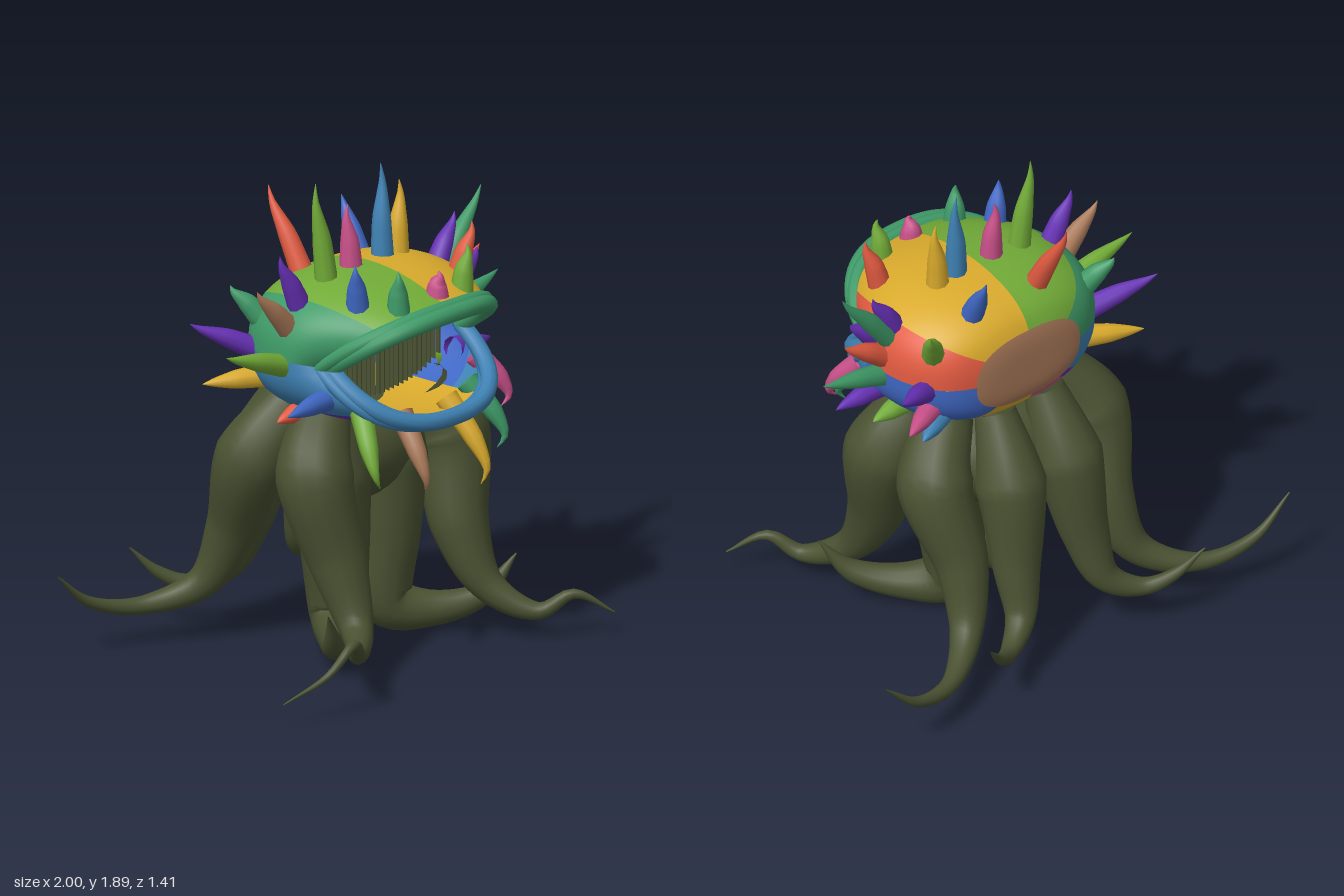
import * as THREE from 'three';

const mat = (name, color) => {
  const m = new THREE.MeshStandardMaterial({ color, side: THREE.DoubleSide });
  m.name = name;
  return m;
};
const V = (p) => new THREE.Vector3(...p);
const spow = (v, e) => Math.sign(v) * Math.pow(Math.abs(v), e);

// Indexed grid from rows of points, optionally closed around each row
function gridGeometry(rows, closed) {
  const n = rows[0].length, pos = [], idx = [];
  rows.forEach((r) => r.forEach((p) => pos.push(p.x, p.y, p.z)));
  for (let i = 0; i < rows.length - 1; i++) {
    for (let j = 0; j < (closed ? n : n - 1); j++) {
      const k = (j + 1) % n, a = i * n + j, b = i * n + k, c = a + n, d = b + n;
      idx.push(a, b, c, b, d, c);
    }
  }
  const g = new THREE.BufferGeometry();
  g.setAttribute('position', new THREE.Float32BufferAttribute(pos, 3));
  g.setIndex(idx);
  g.computeVertexNormals();
  return g;
}

// Tube whose radius follows a list of values along a smooth path
function taperedTube(points, radii, segs, sides) {
  const curve = new THREE.CatmullRomCurve3(points, false, 'centripetal');
  const fr = curve.computeFrenetFrames(segs, false);
  const rows = [];
  for (let i = 0; i <= segs; i++) {
    const u = i / segs, p = curve.getPointAt(u);
    const f = curve.getUtoTmapping(u) * (radii.length - 1);
    const k = Math.min(Math.floor(f), radii.length - 2);
    const r = THREE.MathUtils.lerp(radii[k], radii[k + 1], f - k);
    rows.push(Array.from({ length: sides }, (_, j) => {
      const a = (j / sides) * Math.PI * 2;
      return p.clone().addScaledVector(fr.normals[i], r * Math.cos(a)).addScaledVector(fr.binormals[i], r * Math.sin(a));
    }));
  }
  return gridGeometry(rows, true);
}

// Mouth rim, swept back at the corners
function rimPoint(a) {
  const c = spow(Math.cos(a), 0.8), s = spow(Math.sin(a), 0.8);
  return new THREE.Vector3(0.37 * c, 1.21 + (s > 0 ? 0.2 : 0.215) * s, 0.19 + 0.3 * Math.abs(s));
}

// Head surface: t = 0 at the back pole, 0.6 at the widest ring, 1 at the rim
function headPoint(degrees, t) {
  const a = THREE.MathUtils.degToRad(degrees);
  const c = spow(Math.cos(a), 0.8), s = spow(Math.sin(a), 0.8);
  const phi = Math.min(t / 0.6, 1) * Math.PI / 2, r = Math.sqrt(Math.sin(phi));
  const p = new THREE.Vector3(0.48 * c * r, 1.2 + 0.035 * r + 0.29 * s * r, -0.3 + 0.35 * (1 - Math.cos(phi)));
  if (t > 0.6) {
    const w = (t - 0.6) / 0.4, q = rimPoint(a);
    p.set(THREE.MathUtils.lerp(p.x, q.x, w * w), THREE.MathUtils.lerp(p.y, q.y, w * w), THREE.MathUtils.lerp(p.z, q.z, w));
  }
  return p;
}

function headPatch(a0, a1, t0, t1) {
  const rows = [], n = Math.max(6, Math.round((a1 - a0) / 5));
  for (let i = 0; i <= 18; i++) {
    const t = THREE.MathUtils.lerp(t0, t1, i / 18);
    rows.push(Array.from({ length: n + 1 }, (_, j) => headPoint(a0 + (a1 - a0) * j / n, t)));
  }
  return gridGeometry(rows, false);
}

export function createModel() {
  const C = {
    olive: mat('olive', 0x4a5232), green: mat('leaf green', 0x72ab38), yellow: mat('yellow', 0xd9aa2c),
    red: mat('coral red', 0xe05a40), royal: mat('royal blue', 0x4068c4), steel: mat('steel blue', 0x3f82b4),
    teal: mat('sea green', 0x3f9a68), brown: mat('brown', 0xa87858), purple: mat('purple', 0x6630b4),
    pink: mat('pink', 0xc85088),
  };
  const model = new THREE.Group();
  model.name = 'spikyTentacleCreature';
  const add = (name, geo, material, parent = model) => {
    const m = new THREE.Mesh(geo, material);
    m.name = name;
    parent.add(m);
    return m;
  };
  const group = (name) => {
    const g = new THREE.Group();
    g.name = name;
    model.add(g);
    return g;
  };

  // Patchwork head
  const head = group('head');
  add('backPatch', headPatch(0, 360, 0, 0.11), C.brown, head);
  [['red', 0, 37], ['yellow', 37, 90], ['green', 90, 135], ['teal', 135, 180],
    ['steel', 180, 225], ['purple', 225, 238], ['pink', 238, 268], ['yellow', 268, 302]]
    .forEach(([c, a0, a1]) => add('headPatch', headPatch(a0, a1, 0.11, 1), C[c], head));
  add('headPatch', headPatch(302, 360, 0.11, 0.78), C.royal, head);
  add('jawPatch', headPatch(302, 360, 0.78, 1), C.steel, head);

  // Lips, each a double ridge
  const lip = (name, a0, a1, material) => {
    [[1, 0, 0.034], [1.06, -0.035, 0.03]].forEach(([k, dz, r]) => {
      const pts = Array.from({ length: 25 }, (_, i) => {
        const p = rimPoint(a0 + (a1 - a0) * i / 24);
        return p.set(p.x * k, 1.21 + (p.y - 1.21) * k, p.z + dz);
      });
      add(name, new THREE.TubeGeometry(new THREE.CatmullRomCurve3(pts), 56, r, 10), material);
    });
  };
  lip('upperLip', 0, Math.PI, C.teal);
  lip('lowerLip', Math.PI, Math.PI * 2, C.steel);

  // Row of thin blades across the mouth
  const blades = group('mouthBlades');
  for (let i = -13; i <= 13; i++) {
    const x = i * 0.026, h = 0.4 * Math.sqrt(1 - (x / 0.42) ** 2);
    add('blade', new THREE.BoxGeometry(0.004, h, 0.02), C.olive, blades).position.set(x, 1.2, 0.1);
  }

  // Spikes rooted on the head: the upper ones rise, the flank ones splay outwards
  const spikes = group('spikes');
  const splay = (p, lean) => {
    const rise = p.y - 1.13;
    const d = new THREE.Vector3(2 * p.x ** 3 + p.x * 0.08, rise > 0 ? rise : rise * 0.15, 0).normalize();
    return d.setZ(lean).normalize();
  };
  const droop = (p) => new THREE.Vector3(p.x * 0.3, -0.6, 0.3).normalize();
  const spike = (color, base, dir, length, bend) => {
    const out = new THREE.Vector3(base.x, 0, base.z - 0.05).normalize();
    const along = (k, side) => base.clone().addScaledVector(dir, length * k).addScaledVector(out, side);
    const path = [along(-0.12, 0), along(0.4, bend * 0.6), along(0.8, bend * 0.5 + 0.01), along(1, 0)];
    add('spike', taperedTube(path, [0.047, 0.037, 0.013, 0.001], 12, 9), color, spikes);
  };
  // Each ring: place on the head, aim, bend, then colour, angle and length
  const ring = (t, aim, bend, list) => list.forEach(([c, angle, length]) => {
    const base = headPoint(angle, t);
    spike(C[c], base, aim(base), length, bend);
  });
  ring(0.58, (p) => splay(p, -0.05), 0, [['red', 9, 0.22], ['teal', 25, 0.36], ['purple', 34, 0.2], ['yellow', 72, 0.28],
    ['steel', 82, 0.36], ['pink', 96, 0.24], ['green', 112, 0.38], ['purple', 138, 0.22], ['brown', 157, 0.22],
    ['green', 182, 0.3], ['red', 228, 0.14], ['green', 317, 0.14], ['teal', 357, 0.3]]);
  ring(0.34, (p) => splay(p, -0.5), 0, [['green', 30, 0.19], ['royal', 70, 0.22], ['red', 105, 0.34], ['teal', 155, 0.15],
    ['purple', 180, 0.27], ['yellow', 205, 0.22], ['steel', 322, 0.15], ['pink', 338, 0.18], ['purple', 358, 0.23]]);
  ring(0.8, (p) => splay(p, 0.1), 0, [['red', 53, 0.2], ['royal', 123, 0.17], ['royal', 205, 0.22]]);
  ring(0.68, (p) => splay(p, -0.05), 0, [['purple', 18, 0.15], ['purple', 333, 0.2]]);
  ring(0.9, (p) => splay(p, 0.05), 0, [['green', 69, 0.17], ['pink', 88, 0.09], ['teal', 110, 0.15]]);
  ring(0.88, droop, 0.08, [['green', 227, 0.28], ['brown', 257, 0.28], ['yellow', 283, 0.32],
    ['teal', 305, 0.25], ['pink', 331, 0.2]]);

  // Stem joining the tentacles under the head
  const stem = add('stem', new THREE.SphereGeometry(1, 32, 18), C.olive);
  stem.scale.set(0.38, 0.22, 0.25);
  stem.position.set(0, 0.76, -0.08);

  // Tentacles, mirrored in pairs
  const tentacles = group('tentacles');
  for (const s of [1, -1]) {
    const tentacle = (name, pts, radii) =>
      add(name, taperedTube(pts.map(([x, y, z]) => V([x * s, y, z])), radii, 48, 14), C.olive, tentacles);
    tentacle('middleTentacle', [[0.14, 0.95, 0.01], [0.16, 0.7, 0], [0.145, 0.4, 0.01], [0.14, 0.12, 0.02],
      [0.25, 0.08, 0.12], [0.42, 0.13, 0.26], [0.53, 0.28, 0.33]], [0.12, 0.165, 0.135, 0.11, 0.075, 0.045, 0.003]);
    tentacle('outerBackTentacle', [[0.26, 0.99, -0.1], [0.385, 0.78, -0.19], [0.36, 0.46, -0.32], [0.42, 0.23, -0.42],
      [0.61, 0.15, -0.56], [0.83, 0.2, -0.63], [1, 0.34, -0.64]], [0.11, 0.15, 0.105, 0.065, 0.036, 0.022, 0.003]);
    tentacle('innerBackTentacle', [[0.12, 1.02, -0.23], [0.14, 0.75, -0.35], [0.17, 0.42, -0.42], [0.21, 0.23, -0.49],
      [0.33, 0.17, -0.57], [0.43, 0.22, -0.64], [0.53, 0.33, -0.7]], [0.08, 0.14, 0.095, 0.06, 0.036, 0.024, 0.003]);
    const end = s > 0 ? [[0.47, 0.1, 0.5], [0.56, 0.17, 0.6], [0.68, 0.09, 0.7]]
      : [[0.55, 0.17, 0.5], [0.7, 0.27, 0.61], [0.8, 0.17, 0.58], [1, 0.09, 0.53]];
    tentacle('frontTentacle', [[0.27, 0.97, 0.06], [0.38, 0.77, 0.12], [0.34, 0.42, 0.21], [0.37, 0.19, 0.33], ...end],
      [0.11, 0.155, 0.115, 0.065, 0.034, 0.02, ...(s > 0 ? [0.003] : [0.014, 0.003])]);
  }
  return model;
}
